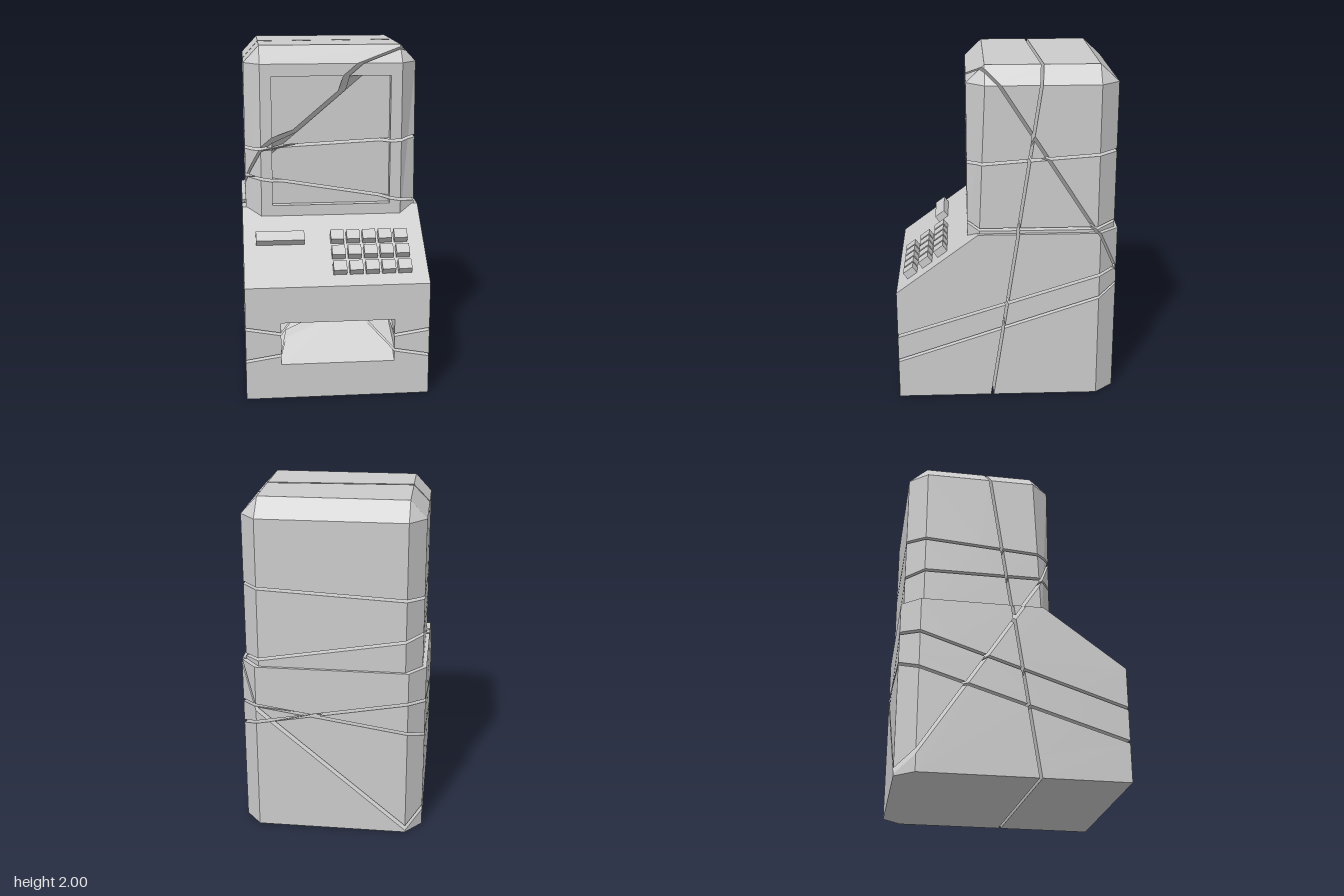
import * as THREE from 'three';

const V = (x, y, z) => new THREE.Vector3(x, y, z);
const material = new THREE.MeshStandardMaterial({ color: 0xcccccc, flatShading: true });
const HALF_GAP = 0.008;

function addTri(tris, a, b, c) {
  if (a.distanceTo(b) < 1e-6 || b.distanceTo(c) < 1e-6 || c.distanceTo(a) < 1e-6) return;
  tris.push([a, b, c]);
}

function addQuad(tris, a, b, c, d) {
  addTri(tris, a, b, c);
  addTri(tris, a, c, d);
}

// Closed solid from stacked rings; the first front quad is left out for a recess
function loft(rings) {
  const tris = [];
  const n = rings[0].length;
  for (let r = 0; r < rings.length - 1; r++) {
    for (let i = 0; i < n; i++) {
      if (r === 0 && i === 0) continue;
      const j = (i + 1) % n;
      addQuad(tris, rings[r][i], rings[r][j], rings[r + 1][j], rings[r + 1][i]);
    }
  }
  const bottom = rings[0], top = rings[rings.length - 1];
  for (let i = 1; i < n - 1; i++) {
    addTri(tris, top[0], top[i], top[i + 1]);
    addTri(tris, bottom[0], bottom[i + 1], bottom[i]);
  }
  return tris;
}

const rect = (hw, y0, y1, z0, z1 = z0) => [V(-hw, y0, z0), V(hw, y0, z0), V(hw, y1, z1), V(-hw, y1, z1)];

// Front face with an opening, its walls and its back surface
function addRecess(tris, outer, opening, back) {
  for (let i = 0; i < 4; i++) {
    const j = (i + 1) % 4;
    addQuad(tris, outer[i], outer[j], opening[j], opening[i]);
    addQuad(tris, opening[i], opening[j], back[j], back[i]);
  }
  addQuad(tris, ...back);
}

// Keep the part of a solid in front of a plane and cap the cut with a fan
function clip(tris, plane) {
  const out = [], cuts = [], centre = V(0, 0, 0);
  for (const tri of tris) {
    const poly = [];
    let exit = null, entry = null;
    for (let i = 0; i < 3; i++) {
      const a = tri[i], b = tri[(i + 1) % 3];
      const da = plane.distanceToPoint(a), db = plane.distanceToPoint(b);
      if (da >= 0) poly.push(a);
      if ((da >= 0) !== (db >= 0)) {
        const p = a.clone().lerp(b, da / (da - db));
        poly.push(p);
        if (da >= 0) exit = p;
        else entry = p;
      }
    }
    for (let i = 1; i < poly.length - 1; i++) addTri(out, poly[0], poly[i], poly[i + 1]);
    if (exit && entry) {
      cuts.push([entry, exit]);
      centre.add(entry).add(exit);
    }
  }
  centre.divideScalar(Math.max(1, cuts.length * 2));
  for (const [a, b] of cuts) addTri(out, a, b, centre);
  return out;
}

// Split every solid along each plane, leaving a thin gap
function shatter(solid, planes) {
  let pieces = [solid];
  for (const plane of planes) {
    const front = plane.clone(), behind = plane.clone().negate();
    front.constant -= HALF_GAP;
    behind.constant -= HALF_GAP;
    pieces = pieces.flatMap((p) => [clip(p, front), clip(p, behind)]).filter((p) => p.length > 0);
  }
  return pieces;
}

function addPieces(parent, name, solid, planes) {
  const group = new THREE.Group();
  group.name = name;
  for (const tris of shatter(solid, planes)) {
    const geometry = new THREE.BufferGeometry().setFromPoints(tris.flat());
    geometry.computeVertexNormals();
    const mesh = new THREE.Mesh(geometry, material);
    mesh.name = name + 'Piece';
    group.add(mesh);
  }
  parent.add(group);
}

function makePlane(nx, ny, nz, constant) {
  return new THREE.Plane(V(nx, ny, nz), constant).normalize();
}

// Plane y = a + b x + c z
const cutY = (a, b, c) => makePlane(-b, 1, -c, -a);

export function createModel() {
  const model = new THREE.Group();
  model.name = 'terminal';

  const cuts = [
    cutY(0.552, -0.182, -0.33),
    cutY(0.522, 0.154, -0.314),
    cutY(1.436, 0.05, -0.073),
    cutY(1.147, -0.17, 0),
    cutY(1.4, 0.85, 1.536),
    makePlane(0.048, 0.1475, 1, -0.115),
  ];

  // Base cabinet: sloping deck, bevelled back corners, wedge-shaped tray
  const baseRing = (y, zf) => [
    V(-0.535, y, zf), V(0.535, y, zf), V(0.535, y, -0.54),
    V(0.44, y, -0.65), V(-0.44, y, -0.65), V(-0.535, y, -0.54),
  ];
  const base = loft([baseRing(0, 0.65), baseRing(0.68, 0.65), baseRing(1.035, 0.17)]);
  addRecess(base, rect(0.535, 0, 0.68, 0.65), rect(0.33, 0.21, 0.465, 0.65), rect(0.33, 0.21, 0.465, 0.65, 0.27));
  addPieces(model, 'base', base, cuts);

  // Monitor: bevelled box with a recessed screen
  const monitorRing = (y, w, zFront, zCorner, zBack) => [
    V(-0.42, y, zFront), V(0.42, y, zFront), V(w, y, zCorner), V(w, y, -0.525),
    V(0.42, y, zBack), V(-0.42, y, zBack), V(-w, y, -0.525), V(-w, y, zCorner),
  ];
  const monitor = loft([
    monitorRing(0.95, 0.513, 0.23, 0.165, -0.633),
    monitorRing(1.9, 0.513, 0.23, 0.125, -0.633),
    monitorRing(2, 0.42, 0.125, 0.125, -0.525),
  ]);
  addRecess(monitor, rect(0.42, 0.95, 1.9, 0.23), rect(0.353, 1.055, 1.828, 0.23), rect(0.353, 1.055, 1.828, 0.183));
  addPieces(model, 'monitor', monitor, cuts);

  // Raised blocks on the sloping deck
  const slope = Math.atan2(0.355, 0.48);
  const addBlock = (name, x, z, width) => {
    const mesh = new THREE.Mesh(new THREE.BoxGeometry(width, 0.06, 0.07), material);
    mesh.name = name;
    mesh.rotation.x = slope;
    mesh.position.set(x, 0.68 + (0.65 - z) * Math.tan(slope), z);
    mesh.position.add(V(0, Math.cos(slope), Math.sin(slope)).multiplyScalar(0.014));
    model.add(mesh);
  };
  for (let row = 0; row < 3; row++) {
    for (let col = 0; col < 5; col++) addBlock('key', 0.018 + col * 0.0945, 0.378 + row * 0.09, 0.078);
  }
  addBlock('driveBar', -0.318, 0.378, 0.285);

  return model;
}
